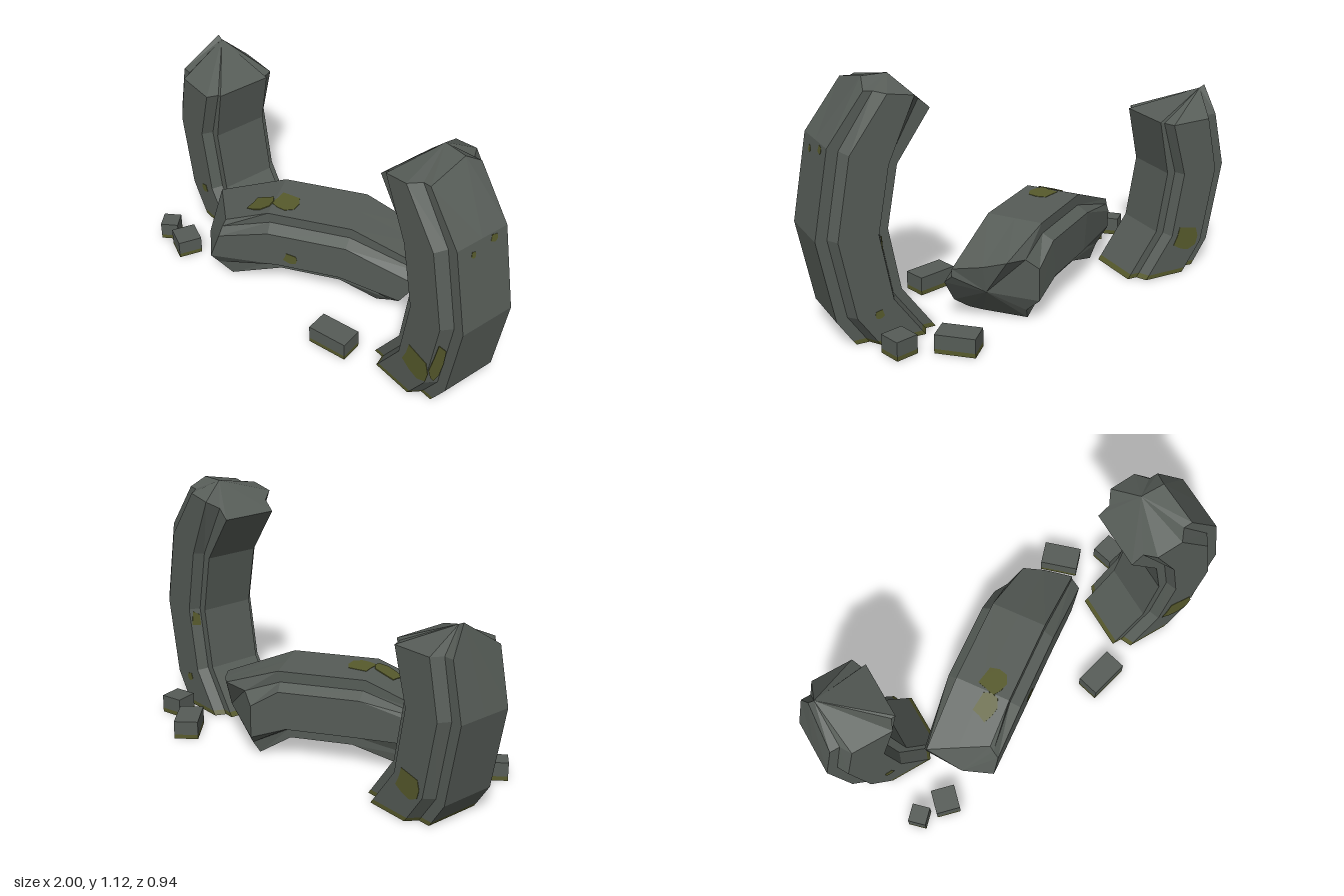
import * as THREE from 'three';

// Blocks are open underneath, so both sides show
const stone = new THREE.MeshStandardMaterial({ color: 0x565c57, side: THREE.DoubleSide });
stone.name = 'stone';
const moss = new THREE.MeshStandardMaterial({ color: 0x575a2c, side: THREE.DoubleSide });
moss.name = 'moss';

// Half profile: [fraction from outer to inner edge, half width]
const PROFILE = [[0, .13], [.16, .13], [.25, .18], [.81, .18], [.87, .13], [1, .13]];

// Cross-section between an outer and an inner point
function section(ox, oy, ix, iy) {
  const half = PROFILE.map(([t, w]) => [ox + (ix - ox) * t, oy + (iy - oy) * t, w]);
  return ring([ox, oy, 0], half);
}

// Closed loop: outer middle point, front half, then the mirrored back half
function ring(mid, half) {
  return [mid, ...half, ...half.slice().reverse().map(([x, y, z]) => [x, y, -z])];
}

// Faceted skin through the rings; an optional point closes the far end
function loft(name, rings, material, tip) {
  const pos = [];
  const tri = (...p) => p.forEach((v) => pos.push(...v));
  const n = rings[0].length;
  const last = rings[rings.length - 1];
  for (let k = 0; k < n; k++) {
    const j = (k + 1) % n;
    for (let i = 0; i + 1 < rings.length; i++) {
      const r = rings[i], s = rings[i + 1];
      tri(r[k], s[j], r[j]);
      tri(r[k], s[k], s[j]);
    }
    if (tip) tri(tip, last[j], last[k]);
  }
  const g = new THREE.BufferGeometry();
  g.setAttribute('position', new THREE.Float32BufferAttribute(pos, 3));
  g.computeVertexNormals();
  const mesh = new THREE.Mesh(g, material);
  mesh.name = name;
  return mesh;
}

// Thin irregular moss plate lying in its local xy plane
function mossPatch(rx, ry, x, y, z, turnX = 0, turnY = 0, turnZ = 0) {
  const pts = [];
  for (let i = 0; i < 9; i++) {
    const a = i / 9 * Math.PI * 2, r = 1 + .18 * Math.sin(i * 2.7);
    pts.push(new THREE.Vector2(Math.cos(a) * rx * r, Math.sin(a) * ry * r));
  }
  const g = new THREE.ExtrudeGeometry(new THREE.Shape(pts), { depth: .004, bevelEnabled: false });
  const mesh = new THREE.Mesh(g, moss);
  mesh.name = 'mossPatch';
  mesh.position.set(x, y, z);
  mesh.rotation.set(turnX, turnY, turnZ, 'ZYX');
  return mesh;
}

// Standing pieces share the same foot
function standingPiece(name, upper, tip) {
  const group = new THREE.Group();
  group.name = name;
  const ankle = section(.864, .02, .505, .02);
  group.add(
    loft('mossyFoot', [section(.85, 0, .49, 0), ankle], moss),
    loft('curvedBlock', [ankle, section(.93, .12, .64, .21), section(1, .49, .69, .49), ...upper], stone, tip),
  );
  return group;
}

export function createModel() {
  const model = new THREE.Group();
  model.name = 'brokenStoneRing';

  // Tall piece, curling inwards to a chipped tip
  const tall = standingPiece('tallRingPiece', [
    section(.93, .87, .64, .76),
    ring([.75, 1.122, -.06], [[.77, 1.08, .13], [.73, 1.075, .13], [.69, 1.07, .18],
      [.575, 1.05, .18], [.54, 1.02, .13], [.49, .975, .13]]),
  ], [.64, 1.122, -.06]);
  tall.add(
    mossPatch(.075, .075, .80, .205, .178),
    mossPatch(.026, .12, .897, .27, .154, 0, Math.PI / 3, -.187),
    mossPatch(.022, .06, .73, .42, -.155, 0, -1.94, -.05),
    mossPatch(.02, .02, .76, .14, -.182),
    mossPatch(.012, .015, .937, .82, .05, 0, Math.PI / 2, .18),
    mossPatch(.018, .018, .932, .845, -.06, 0, Math.PI / 2, .18),
  );
  model.add(tall);

  // Short piece, broken off in a peak
  const short = standingPiece('shortRingPiece', [
    ring([.925, .865, .06], [[.945, .74, .13], [.9, .74, .13], [.87, .74, .18],
      [.68, .735, .18], [.66, .735, .13], [.64, .74, .13]]),
  ], [.9, .853, .06]);
  short.rotation.y = Math.PI;
  short.add(
    mossPatch(.022, .022, .76, .16, -.182),
    mossPatch(.065, .06, .775, .17, .178),
  );
  model.add(short);

  // Fallen piece lying as an arch, both ends chipped at a slant
  const fallen = new THREE.Group();
  fallen.name = 'fallenRingPiece';
  const rightEnd = [[.49, .295, 0],
    [.522, .275, .13], [.525, .24, .13], [.51, .2, .175], [.43, .085, .175], [.38, .04, .13], [.31, 0, .1],
    [.29, 0, -.11], [.32, .05, -.12], [.31, .1, -.177], [.31, .25, -.177], [.35, .3, -.13], [.45, .315, -.092]];
  const leftEnd = [[-.46, .3, 0],
    [-.4, .325, .13], [-.41, .3, .15], [-.42, .26, .177], [-.467, .13, .176], [-.45, .06, .13], [-.386, 0, .12],
    [-.41, 0, -.1], [-.46, .06, -.11], [-.5, .14, -.15], [-.51, .22, -.15], [-.52, .25, -.135], [-.521, .275, -.131]];
  fallen.add(
    loft('rightBreak', [rightEnd, rightEnd].map((r) => r.slice().reverse()), stone, [.46, .17, 0]),
    loft('archBlock', [
      rightEnd,
      section(.195, .41, .14, .1),
      section(-.195, .41, -.14, .1),
      leftEnd,
    ], stone, [-.52, .16, .04]),
    mossPatch(.06, .06, -.14, .408, .03, -Math.PI / 2),
    mossPatch(.065, .05, -.255, .386, .045, -Math.PI / 2, 0, .41),
    mossPatch(.032, .028, -.077, .21, .178),
  );
  fallen.position.set(-.068, 0, .009);
  fallen.rotation.y = .61;
  model.add(fallen);

  // Scattered rubble: x, z, length, depth, turn in degrees
  const rubble = [
    [.495, -.37, .177, .11, -43], [.72, -.28, .105, .105, 15], [.345, .245, .19, .105, 15],
    [-.735, .4, .082, .082, 45], [-.597, .4, .11, .11, -15],
  ];
  for (const [x, z, l, d, turn] of rubble) {
    const outline = (y) => [[l / 2, y, -d / 2], [l / 2, y, d / 2], [-l / 2, y, d / 2], [-l / 2, y, -d / 2]];
    const chunk = new THREE.Group();
    chunk.name = 'rubble';
    chunk.add(
      loft('mossyBase', [outline(0), outline(.02)], moss),
      loft('rubbleBlock', [outline(.02), outline(.085)], stone, [0, .085, 0]),
    );
    chunk.position.set(x, 0, z);
    chunk.rotation.y = THREE.MathUtils.degToRad(turn);
    model.add(chunk);
  }
  return model;
}
